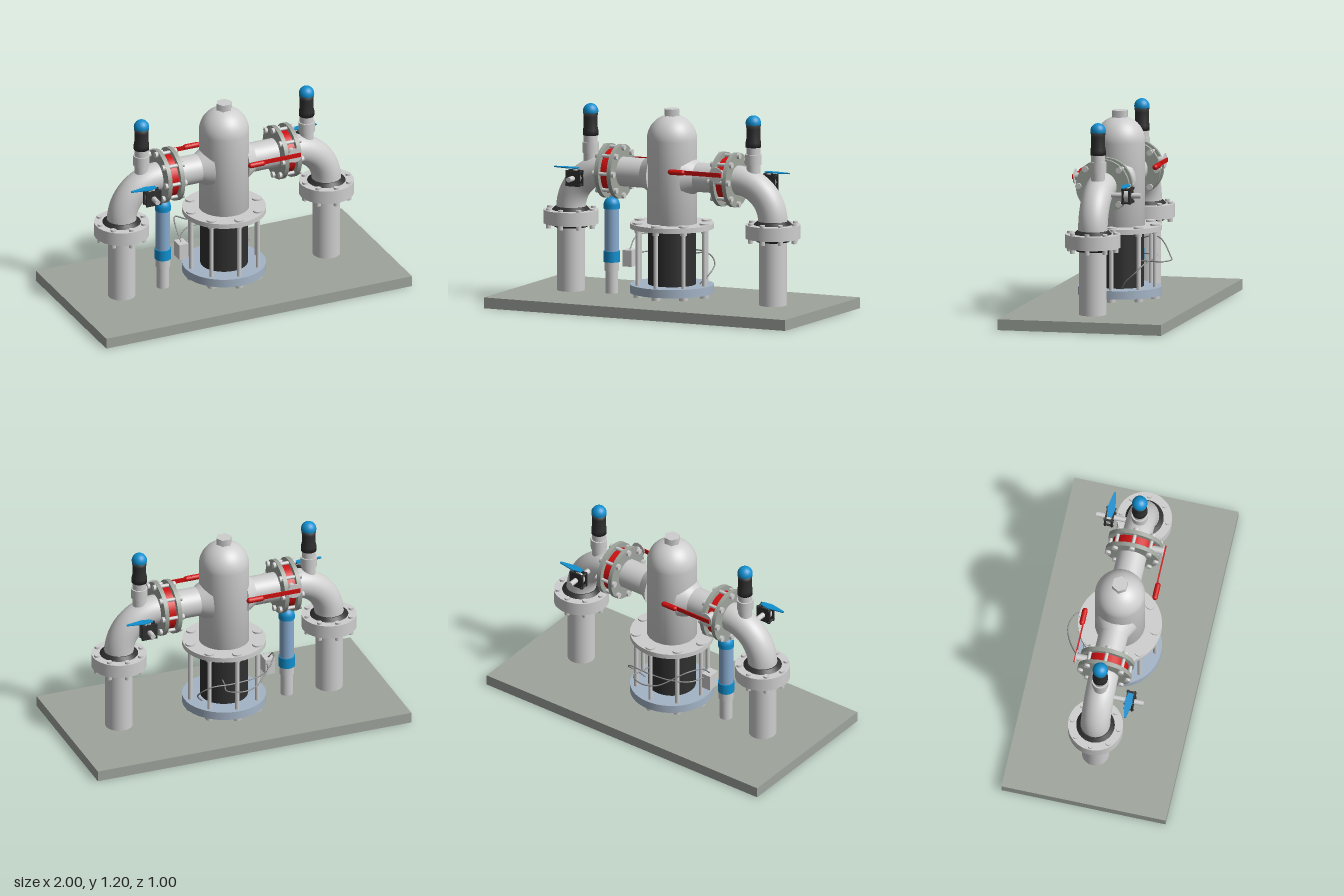
import * as THREE from 'three';

const makeMat = (name, color, side = THREE.FrontSide) => {
  const m = new THREE.MeshStandardMaterial({ color, side });
  m.name = name;
  return m;
};

export function createModel() {
  const steel = makeMat('light steel', 0xcecece);
  const stone = makeMat('grey green', 0x9ea49c);
  const black = makeMat('black rubber', 0x303030);
  const red = makeMat('red', 0xd01010);
  const blue = makeMat('blue', 0x1090d0);
  const paleBlue = makeMat('pale blue', 0x88abd0);
  const platBlue = makeMat('blue grey', 0xa4b4c6);
  const wire = makeMat('wire grey', 0x8c8c8c);

  const model = new THREE.Group();
  model.name = 'pumpStation';

  const add = (parent, name, geo, mat, x = 0, y = 0, z = 0) => {
    const m = new THREE.Mesh(geo, mat);
    m.name = name;
    m.position.set(x, y, z);
    parent.add(m);
    return m;
  };
  // Cylinder running from a to b along the chosen axis, centred on the other two coordinates
  const rod = (parent, name, mat, axis, a, b, r, [p, q] = [0, 0], sides = 32, rEnd = r) => {
    const g = new THREE.CylinderGeometry(rEnd, r, b - a, sides);
    const mid = (a + b) / 2;
    if (axis === 'y') return add(parent, name, g, mat, p, mid, q);
    if (axis === 'x') return add(parent, name, g.rotateZ(-Math.PI / 2), mat, mid, p, q);
    return add(parent, name, g.rotateX(Math.PI / 2), mat, p, q, mid);
  };
  // Calls fn with points evenly spaced on a circle
  const ring = (n, r, fn, start = 0) => {
    for (let i = 0; i < n; i++) {
      const a = start + (i / n) * Math.PI * 2;
      fn(Math.cos(a) * r, Math.sin(a) * r);
    }
  };

  // Ground slab
  add(model, 'baseSlab', new THREE.BoxGeometry(2, 0.065, 1), stone, 0, 0.0325, 0);

  // Domed vessel with hex plug
  const profile = [[0, 0.5], [0.15, 0.5], [0.15, 1.016]].map(([x, y]) => new THREE.Vector2(x, y));
  for (let i = 1; i <= 14; i++) {
    const a = (i / 14) * Math.PI / 2;
    profile.push(new THREE.Vector2(Math.max(0.15 * Math.cos(a), 0), 1.016 + 0.15 * Math.sin(a)));
  }
  add(model, 'vessel', new THREE.LatheGeometry(profile, 48), steel);
  rod(model, 'topPlug', steel, 'y', 1.15, 1.2, 0.049, [0, 0], 6).geometry.rotateY(Math.PI / 2);

  // Caged lower chamber
  rod(model, 'chamber', black, 'y', 0.14, 0.49, 0.142, [0, 0], 48);
  rod(model, 'upperPlate', steel, 'y', 0.485, 0.515, 0.25, [0, 0], 48);
  rod(model, 'lowerPlate', platBlue, 'y', 0.097, 0.147, 0.25, [0, 0], 48);
  ring(8, 0.215, (x, z) => {
    rod(model, 'tieRod', steel, 'y', 0.075, 0.515, 0.013, [x, z], 12);
    rod(model, 'tieRodHead', steel, 'y', 0.515, 0.525, 0.03, [x, z], 16);
    rod(model, 'tieRodNut', steel, 'y', 0.075, 0.097, 0.026, [x, z], 6);
    rod(model, 'upperNut', steel, 'y', 0.465, 0.485, 0.02, [x, z], 6);
  });

  // One pipe branch; the other is the same turned half way round
  const branch = (name) => {
    const g = new THREE.Group();
    g.name = name;
    model.add(g);

    // Horizontal run with flared joint, and elbow
    rod(g, 'pipeFlare', steel, 'x', 0.11, 0.175, 0.125, [0.8, 0], 40, 0.088);
    rod(g, 'horizontalPipe', steel, 'x', 0.1, 0.43, 0.088, [0.8, 0], 40);
    add(g, 'elbow', new THREE.TorusGeometry(0.24, 0.088, 32, 24, Math.PI / 2), steel, 0.43, 0.56, 0);

    // Wafer valve between two flanges
    rod(g, 'valveBody', red, 'x', 0.354, 0.41, 0.132, [0.8, 0], 40);
    rod(g, 'innerFlange', stone, 'x', 0.328, 0.354, 0.163, [0.8, 0], 48);
    rod(g, 'outerFlange', stone, 'x', 0.41, 0.436, 0.163, [0.8, 0], 48);
    ring(8, 0.145, (y, z) => {
      rod(g, 'flangeBolt', steel, 'x', 0.325, 0.44, 0.011, [0.8 + y, z], 10);
      rod(g, 'boltHead', steel, 'x', 0.436, 0.452, 0.018, [0.8 + y, z], 12);
      rod(g, 'boltNut', steel, 'x', 0.312, 0.328, 0.018, [0.8 + y, z], 12);
    });

    // Red lever on a short stem
    rod(g, 'leverStem', steel, 'z', 0.1, 0.18, 0.022, [0.382, 0.85], 20);
    rod(g, 'leverDisc', steel, 'z', 0.177, 0.183, 0.045, [0.382, 0.85], 28);
    add(g, 'leverPlate', new THREE.BoxGeometry(0.29, 0.026, 0.007), red, 0.27, 0.851, 0.187);
    const grip = new THREE.CapsuleGeometry(0.0165, 0.077, 6, 16).rotateZ(Math.PI / 2);
    add(g, 'leverGrip', grip, red, 0.125, 0.851, 0.194);

    // Column and coupling below the elbow
    rod(g, 'column', steel, 'y', 0.06, 0.5, 0.082, [0.67, 0], 40);
    rod(g, 'coupling', steel, 'y', 0.468, 0.55, 0.164, [0.67, 0], 48);
    rod(g, 'upperSeal', black, 'y', 0.545, 0.57, 0.12, [0.67, 0], 40, 0.093);
    rod(g, 'lowerSeal', black, 'y', 0.448, 0.47, 0.1, [0.67, 0], 40, 0.125);
    ring(8, 0.141, (x, z) => {
      rod(g, 'couplingBolt', steel, 'y', 0.442, 0.563, 0.016, [0.67 + x, z], 12);
    });

    // Air valve on top of the elbow
    const top = [0.54, 0];
    rod(g, 'airValvePipe', steel, 'y', 0.74, 0.91, 0.042, top);
    rod(g, 'airValveNut', steel, 'y', 0.9, 0.963, 0.049, top);
    rod(g, 'airValveNeck', steel, 'y', 0.96, 1.01, 0.041, top);
    const sleeve = [[0, 1.005], [0.046, 1.005], [0.046, 1.035], [0.041, 1.06], [0.041, 1.115], [0.045, 1.14], [0, 1.14]];
    add(g, 'airValveSleeve', new THREE.LatheGeometry(sleeve.map(([r, y]) => new THREE.Vector2(r, y)), 32),
      black, 0.54, 0, 0);
    add(g, 'airValveCap', new THREE.SphereGeometry(0.046, 28, 18), blue, 0.54, 1.15, 0);

    // Side tap with square plates and a wedge handle
    const tap = [0.555, 0.77];
    rod(g, 'tapPipe', steel, 'z', -0.267, -0.05, 0.016, tap, 20);
    rod(g, 'tapBody', steel, 'z', -0.203, -0.167, 0.038, tap, 24);
    for (const z of [-0.165, -0.205]) {
      add(g, 'tapPlate', new THREE.BoxGeometry(0.096, 0.096, 0.01), black, tap[0], tap[1], z);
    }
    ring(4, 0.056, (x, y) => {
      rod(g, 'tapBolt', black, 'z', -0.215, -0.155, 0.007, [tap[0] + x, tap[1] + y], 8);
    }, Math.PI / 4);
    rod(g, 'tapStem', steel, 'y', 0.79, 0.832, 0.012, [0.55, -0.185], 12);
    const wedge = new THREE.Shape();
    wedge.moveTo(0.53, 0.168);
    wedge.lineTo(0.59, 0.158);
    wedge.lineTo(0.69, 0.176);
    wedge.lineTo(0.69, 0.188);
    wedge.lineTo(0.59, 0.207);
    wedge.lineTo(0.53, 0.197);
    wedge.closePath();
    const wedgeGeo = new THREE.ExtrudeGeometry(wedge, { depth: 0.006, bevelEnabled: false });
    add(g, 'tapHandle', wedgeGeo.rotateX(Math.PI / 2).rotateX(Math.PI).rotateX(Math.PI), blue, 0, 0.834, -0.365);
    return g;
  };
  branch('leftBranch');
  branch('rightBranch').rotation.y = Math.PI;

  // Standing sensor tube under the right valve
  const post = [-0.4, 0];
  rod(model, 'postFoot', steel, 'y', 0.06, 0.21, 0.038, post);
  rod(model, 'postSocket', steel, 'y', 0.2, 0.255, 0.044, post);
  rod(model, 'postBand', blue, 'y', 0.253, 0.318, 0.049, post);
  rod(model, 'postTube', paleBlue, 'y', 0.31, 0.575, 0.043, post);
  rod(model, 'postCollar', blue, 'y', 0.573, 0.598, 0.048, post);
  add(model, 'postCap', new THREE.SphereGeometry(0.048, 28, 18), blue, -0.4, 0.597, 0);

  // Junction box and loose cables
  add(model, 'junctionBox', new THREE.BoxGeometry(0.06, 0.098, 0.08), steel, -0.28, 0.285, 0);
  const cable = (name, pts) => {
    const curve = new THREE.CatmullRomCurve3(pts.map((p) => new THREE.Vector3(...p)));
    add(model, name, new THREE.TubeGeometry(curve, 64, 0.004, 8), wire);
  };
  cable('upperCable', [[-0.28, 0.33, 0], [-0.28, 0.4, -0.08], [-0.24, 0.41, -0.18], [-0.1, 0.32, -0.285],
    [0, 0.31, -0.312], [0.085, 0.31, -0.27], [0.07, 0.31, -0.19], [0.06, 0.31, -0.13]]);
  cable('lowerCable', [[-0.27, 0.31, 0], [-0.23, 0.31, -0.12], [-0.14, 0.32, -0.19], [0.02, 0.31, -0.2],
    [0.15, 0.31, -0.195], [0.21, 0.26, -0.15], [0.2, 0.2, -0.085], [0.16, 0.15, -0.05]]);

  return model;
}
